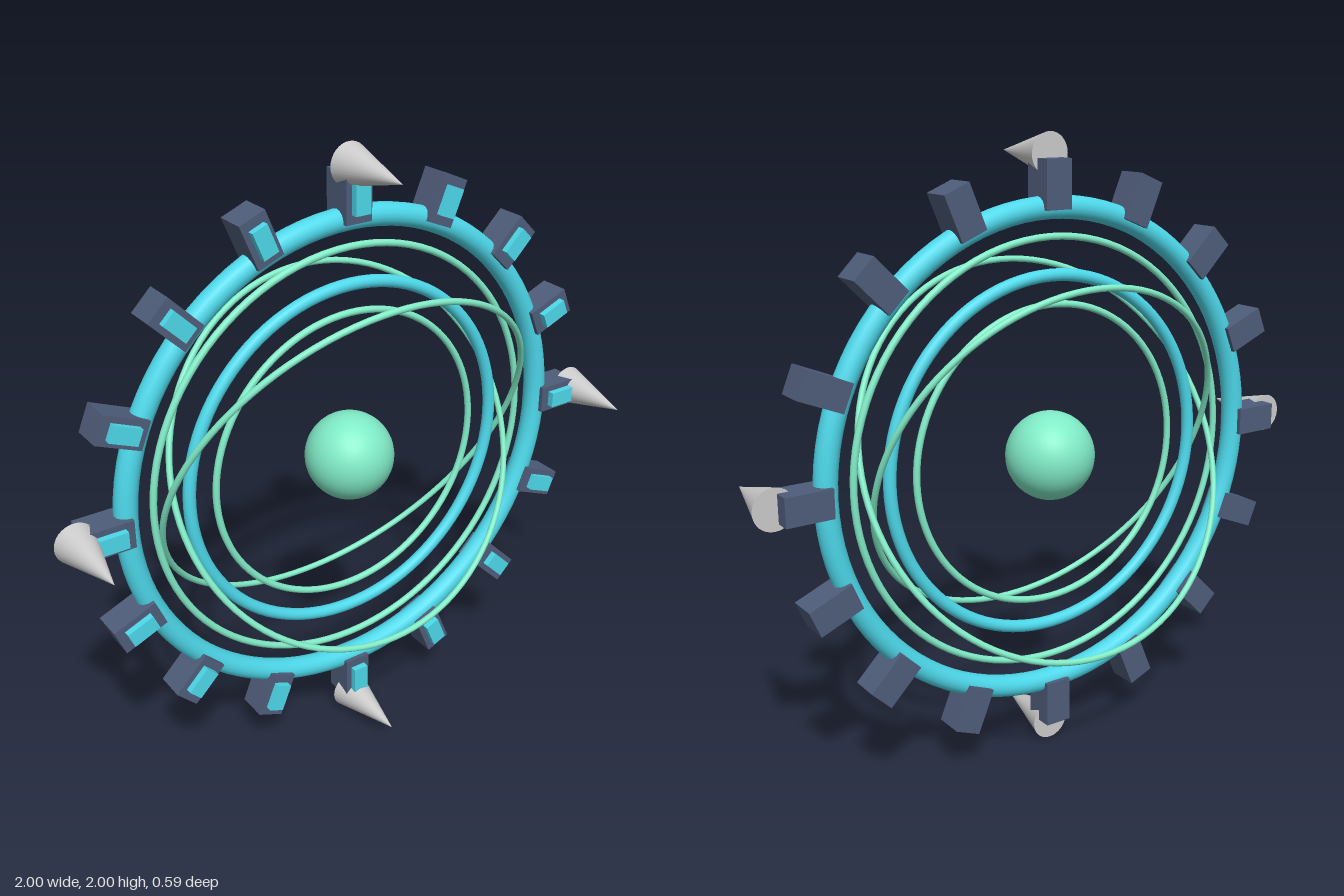
import * as THREE from 'three';

const mat = (color) => new THREE.MeshStandardMaterial({ color });

export function createModel() {
  const cyan = mat(0x4dd8ea);
  const mint = mat(0x80ebc6);
  const slate = mat(0x4f5d7a);
  const grey = mat(0xcccccc);

  const model = new THREE.Group();
  model.name = 'ringGate';
  const hub = new THREE.Group(); // everything is arranged around the ring centre
  hub.name = 'assembly';
  hub.position.y = 1;
  model.add(hub);

  const add = (parent, name, geometry, material, x = 0, y = 0, z = 0) => {
    const mesh = new THREE.Mesh(geometry, material);
    mesh.name = name;
    mesh.position.set(x, y, z);
    parent.add(mesh);
    return mesh;
  };
  const ring = (name, radius, tube, material, tilt = 0) => {
    const mesh = add(hub, name, new THREE.TorusGeometry(radius, tube, 16, 96), material);
    mesh.rotation.x = tilt;
  };

  // Flat rings
  ring('mainRing', 0.778, 0.036, cyan);
  ring('innerRing', 0.573, 0.02, cyan);
  ring('outerThinRing', 0.69, 0.011, mint);
  ring('innerThinRing', 0.483, 0.011, mint);

  // Crossed, tilted orbit rings
  ring('forwardOrbit', 0.655, 0.01, mint, 0.45);
  ring('backwardOrbit', 0.618, 0.01, mint, -0.42);

  // Central sphere
  add(hub, 'core', new THREE.SphereGeometry(0.143, 40, 28), mint);

  // Sixteen blocks around the rim, each with a raised front panel
  const blockGeo = new THREE.BoxGeometry(0.09, 0.15, 0.1);
  const panelGeo = new THREE.BoxGeometry(0.052, 0.092, 0.04);
  for (let i = 0; i < 16; i++) {
    const block = new THREE.Group();
    block.name = 'rimBlock';
    block.rotation.z = (i * Math.PI) / 8;
    add(block, 'block', blockGeo, slate, 0, 0.848, 0);
    add(block, 'panel', panelGeo, cyan, 0, 0.848, 0.052);
    hub.add(block);
  }

  // Four forward-pointing spikes, base on the ring plane
  const spikeGeo = new THREE.ConeGeometry(0.065, 0.255, 32).rotateX(Math.PI / 2);
  for (let i = 0; i < 4; i++) {
    const a = (i * Math.PI) / 2;
    add(hub, 'spike', spikeGeo, grey, 0.935 * Math.cos(a), 0.935 * Math.sin(a), 0.1275);
  }

  return model;
}
